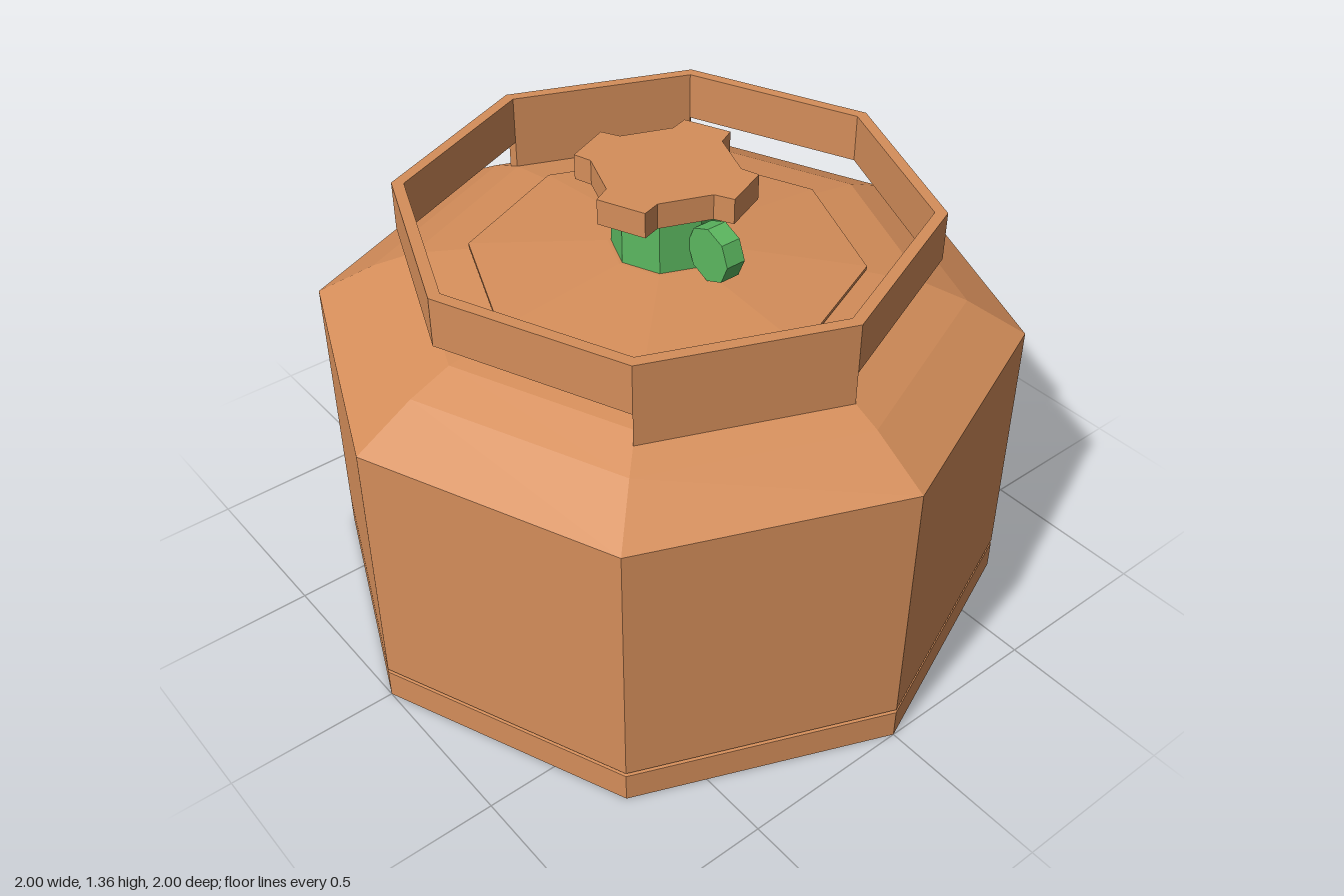
import * as THREE from 'three';

const copper = new THREE.MeshStandardMaterial({ color: 0xd58e5a });
copper.name = 'copper';
copper.flatShading = true;
const green = new THREE.MeshStandardMaterial({ color: 0x5cb860 });
green.name = 'green';
green.flatShading = true;

const SIDES = 8;

function part(name, geometry, material) {
  const mesh = new THREE.Mesh(geometry, material);
  mesh.name = name;
  return mesh;
}

// Eight-sided turned solid from [radius, height] pairs, listed bottom to top
function turned(profile) {
  return new THREE.LatheGeometry(profile.map(([r, y]) => new THREE.Vector2(r, y)), SIDES);
}

// Point on a circle in plan
function polar(radius, degrees) {
  const a = THREE.MathUtils.degToRad(degrees);
  return new THREE.Vector2(radius * Math.cos(a), radius * Math.sin(a));
}

// Upright prism over a plan outline (plan y points to -z)
function prism(points, bottom, top) {
  const geometry = new THREE.ExtrudeGeometry(new THREE.Shape(points), {
    depth: top - bottom, bevelEnabled: false,
  });
  return geometry.rotateX(-Math.PI / 2).translate(0, bottom, 0);
}

export function createModel() {
  const model = new THREE.Group();
  model.name = 'gasCanister';

  // Tank with foot band, seam groove and sloping shoulder
  model.add(part('tank', turned([
    [0, 0], [1, 0], [1, 0.09], [0.985, 0.092], [0.985, 0.1], [1, 0.102],
    [1, 0.88], [0.83, 0.98], [0.71, 1.03], [0.52, 1.06], [0, 1.06],
  ]), copper));

  // Shallow cap plate
  model.add(part('capPlate', turned([
    [0, 1.063], [0.55, 1.063], [0.55, 1.073], [0.16, 1.11], [0, 1.113],
  ]), copper));

  // Carrying collar
  const inner = 0.715, outer = 0.75;
  model.add(part('collar', turned([
    [outer, 1.11], [outer, 1.255], [inner, 1.255], [inner, 1.11], [outer, 1.11],
  ]), copper));

  // Two opposite legs hold the collar on the shoulder
  for (const start of [-45, 135]) {
    model.add(part('collarLeg', prism([
      polar(inner, start), polar(outer, start),
      polar(outer, start + 45), polar(inner, start + 45),
    ], 1.012, 1.112), copper));
  }

  // Valve stem
  const stem = part('valveStem', new THREE.CylinderGeometry(0.15, 0.15, 0.2, SIDES), green);
  stem.position.y = 1.185;
  model.add(stem);

  // Round outlet on the left of the stem, facing front
  const outlet = part('valveOutlet', new THREE.CylinderGeometry(0.08, 0.08, 0.06, SIDES), green);
  outlet.rotation.x = Math.PI / 2;
  outlet.position.set(0.21, 1.19, 0);
  model.add(outlet);

  // Hand wheel with four lobes
  const wheel = [];
  for (let i = 0; i < 4; i++) {
    const a = i * 90;
    wheel.push(polar(0.197, a), polar(0.25, a + 6), polar(0.25, a + 39), polar(0.2, a + 45));
  }
  model.add(part('handWheel', prism(wheel, 1.283, 1.357), copper));

  return model;
}
